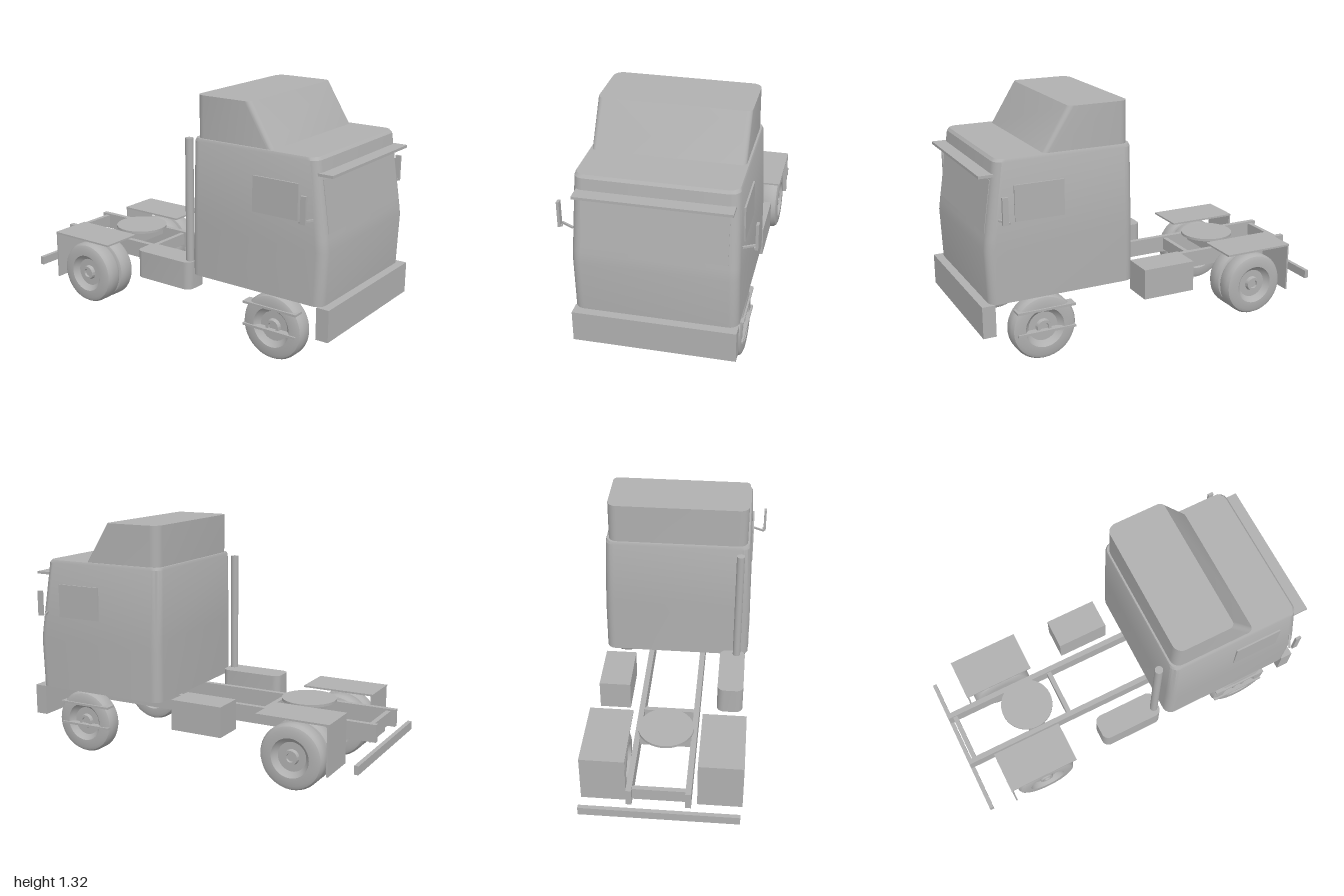
import * as THREE from 'three';
import { toCreasedNormals } from 'three/addons/utils/BufferGeometryUtils.js';

const grey = new THREE.MeshStandardMaterial({ color: 0xb0b0b0 });
grey.name = 'plain grey';

function add(group, name, geometry, x = 0, y = 0, z = 0) {
  const mesh = new THREE.Mesh(geometry, grey);
  mesh.name = name;
  mesh.position.set(x, y, z);
  group.add(mesh);
  return mesh;
}

// Box given by its extents on each axis
function box(group, name, [x0, x1], [y0, y1], [z0, z1]) {
  return add(group, name, new THREE.BoxGeometry(x1 - x0, y1 - y0, z1 - z0),
    (x0 + x1) / 2, (y0 + y1) / 2, (z0 + z1) / 2);
}

// Mirrored pair of boxes
function boxPair(group, name, [x0, x1], ys, zs) {
  box(group, name + 'Left', [x0, x1], ys, zs);
  box(group, name + 'Right', [-x1, -x0], ys, zs);
}

// Rounded rectangle in plan, counter-clockwise seen from +z towards +x
function planRing({ y, w, front, back, r = 0.05, rf = r }) {
  const corners = [[w, front, rf, 0], [-w, front, rf, 1], [-w, back, r, 2], [w, back, r, 3]];
  const points = [];
  corners.forEach(([x, z, rad, k]) => {
    const cx = x - Math.sign(x) * rad;
    const cz = k < 2 ? z - rad : z + rad;
    for (let i = 0; i <= 6; i++) {
      const a = (k + i / 6) * Math.PI / 2;
      points.push([cx + rad * Math.cos(a), y, cz + rad * Math.sin(a)]);
    }
  });
  return points;
}

// Skin through plan rings from bottom to top, with flat caps
function loft(sections) {
  const rings = sections.map(planRing);
  const n = rings[0].length, pos = [], idx = [];
  rings.forEach(ring => ring.forEach(p => pos.push(...p)));
  for (let k = 0; k < rings.length - 1; k++) {
    for (let i = 0; i < n; i++) {
      const a = k * n + i, b = k * n + (i + 1) % n;
      idx.push(a, a + n, b, b, a + n, b + n);
    }
  }
  const top = (rings.length - 1) * n;
  for (let i = 1; i < n - 1; i++) {
    idx.push(0, i, i + 1);
    idx.push(top, top + i + 1, top + i);
  }
  const g = new THREE.BufferGeometry();
  g.setAttribute('position', new THREE.Float32BufferAttribute(pos, 3));
  g.setIndex(idx);
  return toCreasedNormals(g, 0.45);
}

// Tyre with dished rim and hub, outer face towards +x
function wheelGeometry(w) {
  const h = w / 2;
  const profile = [
    [0, -h + 0.02], [0.1, -h + 0.02], [0.11, -h], [0.15, -h], [0.168, -h + 0.008], [0.178, -h + 0.025],
    [0.178, h - 0.025], [0.168, h - 0.008], [0.15, h], [0.107, h], [0.098, h - 0.015], [0.08, h - 0.03],
    [0.042, h - 0.03], [0.038, h - 0.008], [0.024, h - 0.008], [0.022, h - 0.02], [0, h - 0.02],
  ].map(p => new THREE.Vector2(...p));
  const g = new THREE.LatheGeometry(profile, 40);
  g.rotateZ(-Math.PI / 2);
  return toCreasedNormals(g, 0.6);
}

export function createModel() {
  const truck = new THREE.Group();
  truck.name = 'tractorTruck';

  // Cab and roof fairing
  const cab = new THREE.Group();
  cab.name = 'cab';
  truck.add(cab);
  add(cab, 'cabBody', loft([
    { y: 0.36, w: 0.42, front: 0.955, back: 0.155 },
    { y: 0.64, w: 0.42, front: 0.965, back: 0.155 },
    { y: 0.70, w: 0.419, front: 0.957, back: 0.155 },
    { y: 1.085, w: 0.406, front: 0.9, back: 0.155 },
    { y: 1.10, w: 0.4, front: 0.888, back: 0.16 },
  ]));
  add(cab, 'roofFairing', loft([
    { y: 1.10, w: 0.39, front: 0.64, back: 0.17, rf: 0.03 },
    { y: 1.323, w: 0.39, front: 0.5, back: 0.17, rf: 0.03 },
  ]));
  box(cab, 'sunVisor', [-0.39, 0.39], [1.012, 1.026], [0.89, 0.98]);
  boxPair(cab, 'sideWindow', [0.412, 0.421], [0.78, 0.967], [0.545, 0.81]);

  // Windscreen plate follows the front slope
  const screen = add(cab, 'windscreen', new THREE.BoxGeometry(0.73, 0.27, 0.006), 0, 0.86, 0.933);
  screen.rotation.x = -0.147;

  // Mirrors on short angled arms
  for (const s of [1, -1]) {
    const mirror = new THREE.Group();
    mirror.name = s > 0 ? 'mirrorLeft' : 'mirrorRight';
    truck.add(mirror);
    add(mirror, 'mirrorPlate', new THREE.BoxGeometry(0.014, 0.14, 0.03), s * 0.49, 0.865, 0.885);
    const arm = add(mirror, 'mirrorArm', new THREE.BoxGeometry(0.075, 0.01, 0.01), s * 0.453, 0.8, 0.878);
    arm.rotation.y = s * 0.5;
    add(mirror, 'mirrorFoot', new THREE.BoxGeometry(0.016, 0.01, 0.012), s * 0.484, 0.8, 0.888);
  }

  // Bumper
  box(truck, 'bumper', [-0.42, 0.42], [0.19, 0.36], [0.93, 1]);

  // Chassis
  const chassis = new THREE.Group();
  chassis.name = 'chassis';
  truck.add(chassis);
  boxPair(chassis, 'frameRail', [0.137, 0.167], [0.25, 0.345], [-0.995, 0.88]);
  for (const z of [-0.955, -0.345]) {
    box(chassis, 'crossMember', [-0.14, 0.14], [0.265, 0.335], [z - 0.013, z + 0.013]);
  }
  box(chassis, 'rearBar', [-0.42, 0.42], [0.158, 0.205], [-1, -0.977]);

  // Coupling plate
  add(chassis, 'couplingPlate', new THREE.CylinderGeometry(0.15, 0.15, 0.014, 40), 0, 0.383, -0.55);
  box(chassis, 'couplingBase', [-0.14, 0.14], [0.3, 0.378], [-0.6, -0.5]);

  // Rear mudguards with flaps
  boxPair(truck, 'mudguard', [0.19, 0.43], [0.386, 0.396], [-0.845, -0.435]);
  boxPair(truck, 'mudflap', [0.19, 0.43], [0.12, 0.39], [-0.842, -0.833]);

  // Entry steps over the front wheels
  for (const y of [0.285, 0.163]) {
    boxPair(truck, 'step', [0.36, 0.425], [y - 0.006, y + 0.006], [0.495, 0.815]);
  }

  // Side boxes and exhaust
  box(truck, 'batteryBox', [0.235, 0.41], [0.223, 0.392], [-0.22, 0.082]);
  const tank = { w: 0.073, front: 0.13, back: -0.24, r: 0.04 };
  add(truck, 'fuelTank', loft([{ y: 0.25, ...tank }, { y: 0.405, ...tank }]), -0.332);
  add(truck, 'exhaustPipe', new THREE.CylinderGeometry(0.022, 0.022, 0.68, 20), -0.355, 0.742, 0.1);

  // Single front wheels and twin rear wheels
  const wheel = wheelGeometry(0.106);
  const layout = [['frontWheel', 0.362, 0.665], ['rearOuterWheel', 0.362, -0.625], ['rearInnerWheel', 0.252, -0.625]];
  for (const [name, x, z] of layout) {
    add(truck, name + 'Left', wheel, x, 0.18, z);
    add(truck, name + 'Right', wheel, -x, 0.18, z).rotation.y = Math.PI;
  }
  return truck;
}
